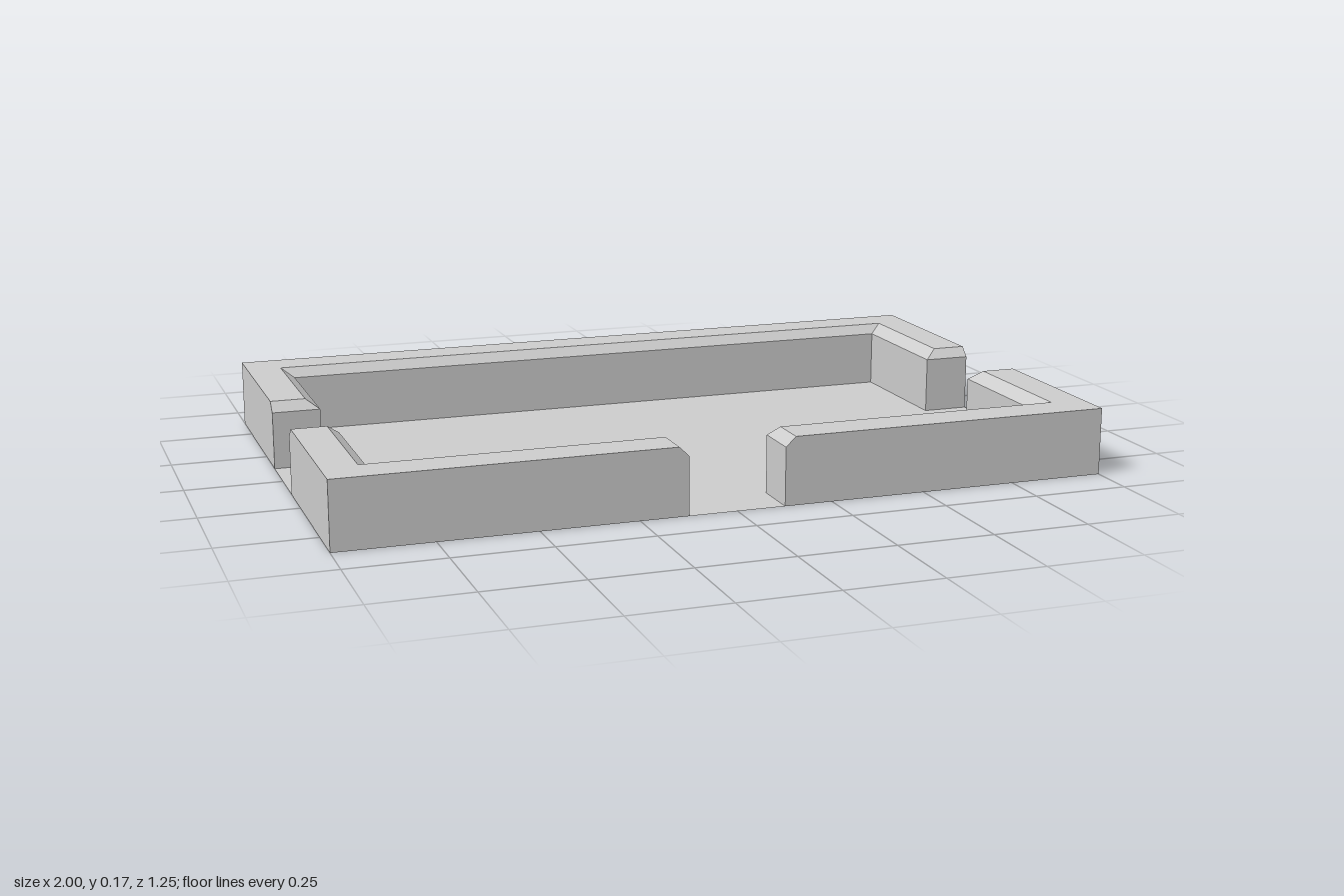
import * as THREE from 'three';

const WALL_TOP = 0.175, BEVEL_START = 0.15;

// Inner edges and doorway edges step back at the top to form the bevel
const bevelX = { 0.875: 0.909, 0.125: 0.151 };
const bevelZ = { 0.5: 0.525, 0.125: 0.15 };
const stepBack = (v, table) => Math.sign(v) * (table[Math.abs(v)] ?? Math.abs(v));

// Wall with upright sides, a bevelled rim and a flat top; outline is [x, z], clockwise from above
function makeWall(name, outline, material) {
  const topOutline = outline.map(([x, z]) => [stepBack(x, bevelX), stepBack(z, bevelZ)]);
  const rings = [[outline, 0], [outline, BEVEL_START], [topOutline, WALL_TOP]]
    .map(([pts, y]) => pts.map(([x, z]) => [x, y, z]));
  // Outer edges get no bevel, but follow the same rings
  const positions = [];
  for (let r = 0; r < 2; r++) {
    for (let i = 0; i < outline.length; i++) {
      const j = (i + 1) % outline.length;
      const a = rings[r][i], b = rings[r][j], c = rings[r + 1][j], d = rings[r + 1][i];
      positions.push(...a, ...d, ...c, ...a, ...c, ...b);
    }
  }
  const sides = new THREE.BufferGeometry();
  sides.setAttribute('position', new THREE.Float32BufferAttribute(positions, 3));
  sides.computeVertexNormals();

  const cap = new THREE.ShapeGeometry(
    new THREE.Shape(topOutline.map(([x, z]) => new THREE.Vector2(x, -z))));
  cap.rotateX(-Math.PI / 2).translate(0, WALL_TOP, 0);

  const wall = new THREE.Group();
  wall.name = name;
  for (const [part, geometry] of [['Sides', sides], ['Top', cap]]) {
    const mesh = new THREE.Mesh(geometry, material);
    mesh.name = name + part;
    wall.add(mesh);
  }
  return wall;
}

export function createModel() {
  const model = new THREE.Group();
  model.name = 'walledTray';
  const grey = new THREE.MeshStandardMaterial({ color: 0xcccccc, side: THREE.DoubleSide });
  grey.name = 'lightGrey';

  // Thin floor sheet
  const floor = new THREE.Mesh(new THREE.PlaneGeometry(2, 1.25).rotateX(-Math.PI / 2), grey);
  floor.name = 'floor';
  model.add(floor);

  // U-shaped back wall
  model.add(makeWall('backWall', [
    [-1, -0.125], [-1, -0.625], [1, -0.625], [1, -0.125],
    [0.875, -0.125], [0.875, -0.5], [-0.875, -0.5], [-0.875, -0.125],
  ], grey));

  // L-shaped front corners, mirrored about the front doorway
  const corner = [
    [0.125, 0.5], [0.875, 0.5], [0.875, 0.125], [1, 0.125], [1, 0.625], [0.125, 0.625],
  ];
  model.add(makeWall('frontLeftWall', corner, grey));
  model.add(makeWall('frontRightWall', corner.map(([x, z]) => [-x, z]).reverse(), grey));

  return model;
}
